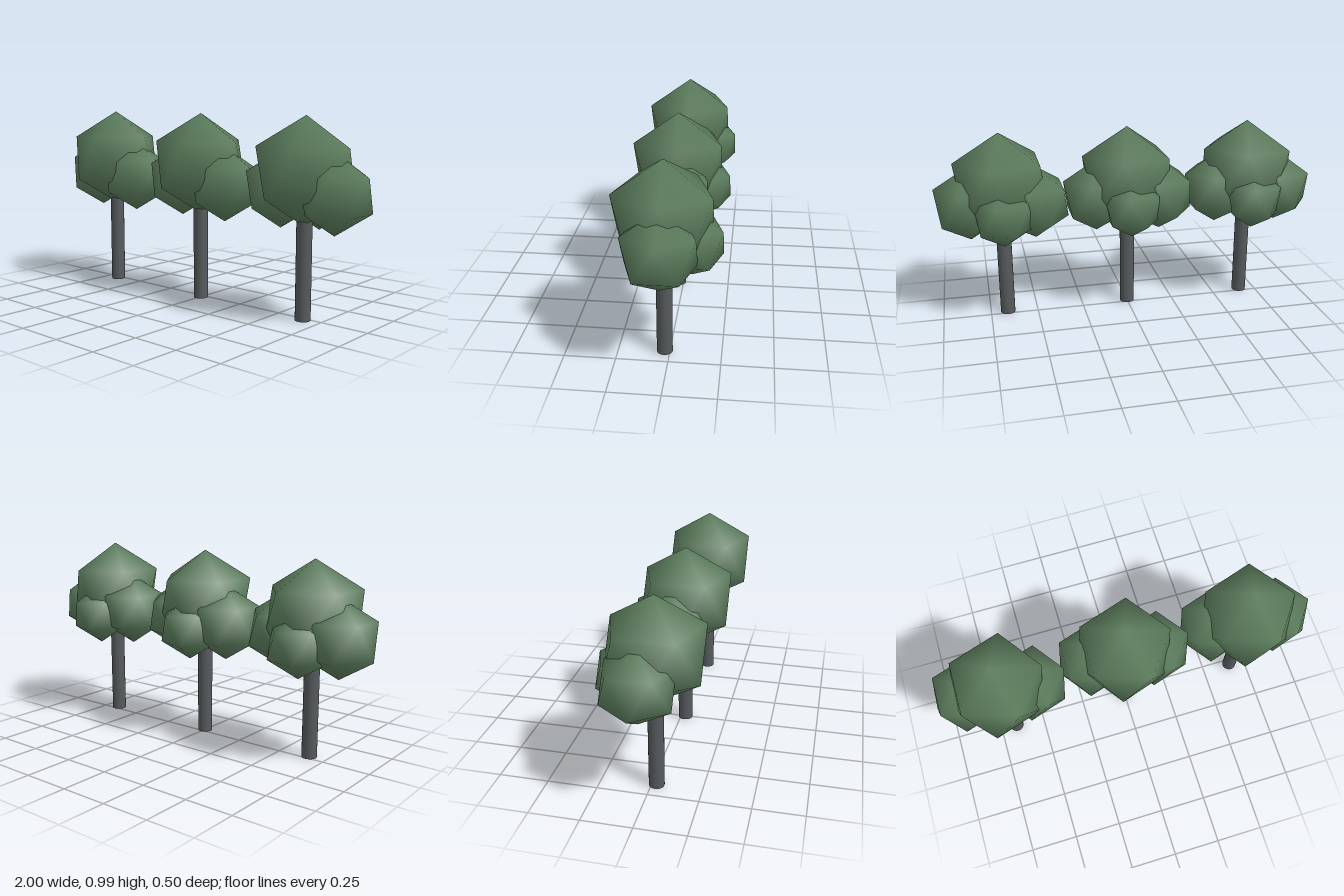
import * as THREE from 'three';
import { mergeVertices } from 'three/addons/utils/BufferGeometryUtils.js';

const TREE_SPACING = 0.66;
const TRUNK_Z = 0.025;

// Smooth-shaded icosahedron standing on a vertex, with an upper corner towards +x
function makeLeafGeometry() {
  const t = (1 + Math.sqrt(5)) / 2;
  const geo = new THREE.IcosahedronGeometry(1, 0);
  geo.rotateZ(-Math.atan(1 / t));
  geo.deleteAttribute('normal');
  geo.deleteAttribute('uv');
  const smooth = mergeVertices(geo, 1e-4);
  smooth.computeVertexNormals();
  return smooth;
}

export function createModel() {
  const leafGreen = new THREE.MeshStandardMaterial({ color: 0x5a7b5b });
  leafGreen.name = 'leafGreen';
  const trunkGrey = new THREE.MeshStandardMaterial({ color: 0x565a5c });
  trunkGrey.name = 'trunkGrey';

  const leafGeo = makeLeafGeometry();
  const trunkGeo = new THREE.CylinderGeometry(0.0385, 0.0385, 0.6, 24);

  // Foliage clumps: name, radius, centre
  const clumps = [
    ['crownFoliage', 0.265, [0, 0.725, 0.025]],
    ['leftFoliage', 0.194, [0.166, 0.627, 0.025]],
    ['rightFoliage', 0.194, [-0.166, 0.627, -0.013]],
    ['backFoliage', 0.167, [0, 0.596, -0.105]],
  ];

  const model = new THREE.Group();
  model.name = 'treeRow';
  for (let i = -1; i <= 1; i++) {
    const tree = new THREE.Group();
    tree.name = ['rightTree', 'middleTree', 'leftTree'][i + 1];
    tree.position.x = i * TREE_SPACING;

    const trunk = new THREE.Mesh(trunkGeo, trunkGrey);
    trunk.name = 'trunk';
    trunk.position.set(0, 0.3, TRUNK_Z);
    tree.add(trunk);

    for (const [name, radius, centre] of clumps) {
      const clump = new THREE.Mesh(leafGeo, leafGreen);
      clump.name = name;
      clump.scale.setScalar(radius);
      clump.position.set(...centre);
      tree.add(clump);
    }
    model.add(tree);
  }
  return model;
}
